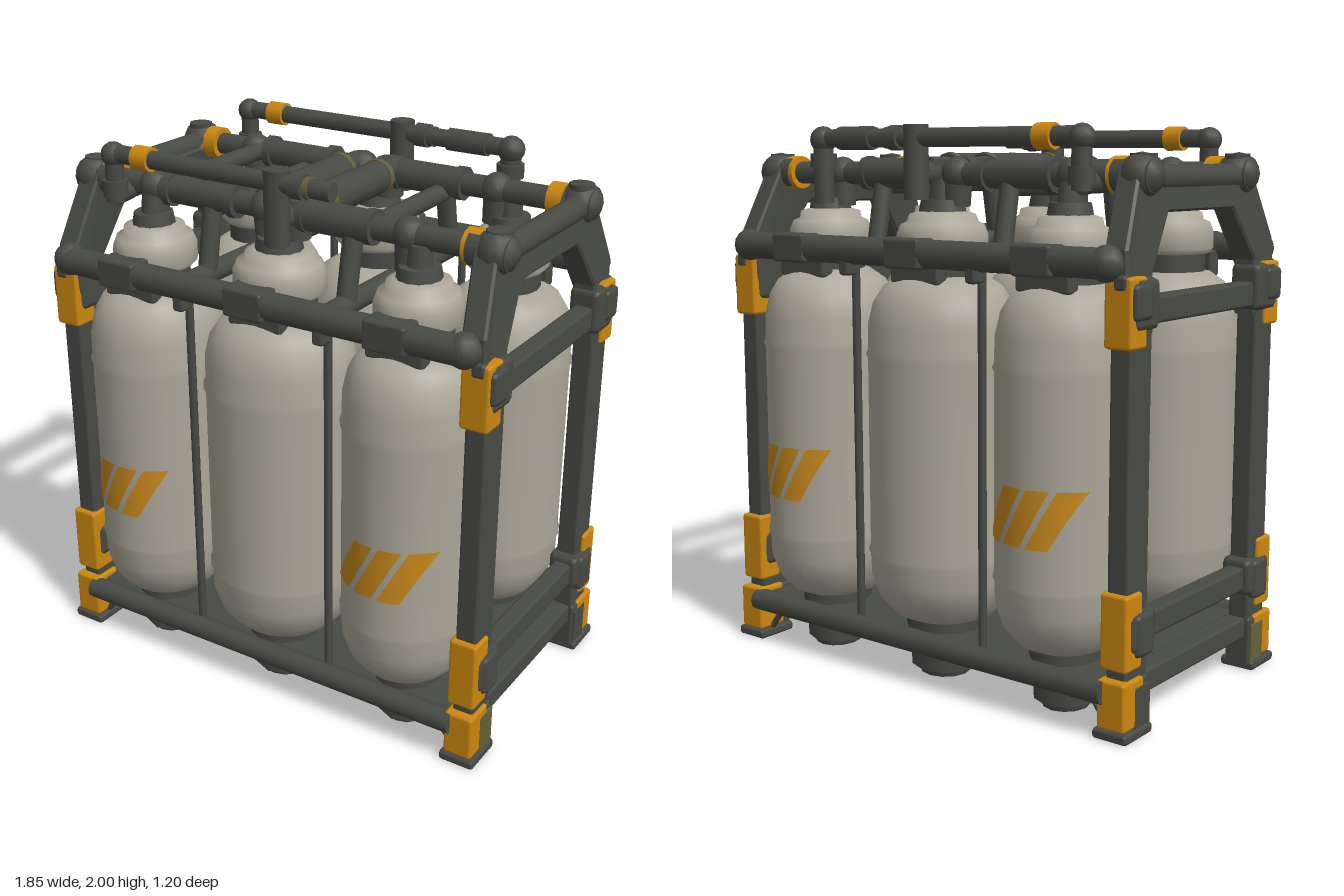
import * as THREE from 'three';
import { RoundedBoxGeometry } from 'three/addons/geometries/RoundedBoxGeometry.js';

const mat = (name, color) => new THREE.MeshStandardMaterial({ name, color });

export function createModel() {
  const dark = mat('darkMetal', 0x484a45);
  const pale = mat('paleTank', 0xaba698);
  const orange = mat('orangePaint', 0xcc8810);
  const olive = mat('wornOlive', 0x66603c);
  const stripeMat = mat('stripeOrange', 0xc98a1c);
  const root = new THREE.Group();
  root.name = 'tankRack';

  const add = (name, geo, m, x = 0, y = 0, z = 0, parent = root) => {
    const mesh = new THREE.Mesh(geo, m);
    mesh.name = name;
    mesh.position.set(x, y, z);
    parent.add(mesh);
    return mesh;
  };
  const box = (name, m, x, y, z, w, h, d, r = 0.012) =>
    add(name, new RoundedBoxGeometry(w, h, d, 1, r), m, x, y, z);
  // round bar between two points
  const pipe = (name, m, a, b, r, sides = 12) => {
    const p = new THREE.Vector3(...a), q = new THREE.Vector3(...b);
    const dir = q.clone().sub(p);
    const mesh = add(name, new THREE.CylinderGeometry(r, r, dir.length(), sides), m);
    mesh.position.copy(p).add(q).multiplyScalar(0.5);
    mesh.quaternion.setFromUnitVectors(new THREE.Vector3(0, 1, 0), dir.normalize());
    return mesh;
  };
  const joint = (name, x, y, z, r) => add(name, new THREE.SphereGeometry(r, 12, 8), dark, x, y, z);
  // collar around a pipe that runs along x
  const collar = (name, m, x, y, z, r, w) => pipe(name, m, [x - w / 2, y, z], [x + w / 2, y, z], r);

  const lathe = (pts) => new THREE.LatheGeometry(pts.map(([r, y]) => new THREE.Vector2(r, y)), 24);
  const bodyGeo = lathe([[0, 0.2], [0.1, 0.205], [0.18, 0.24], [0.235, 0.3], [0.262, 0.38], [0.265, 0.46],
    [0.272, 0.475], [0.265, 0.49], [0.265, 1.18], [0.273, 1.195], [0.265, 1.21], [0.264, 1.3],
    [0.245, 1.38], [0.21, 1.435], [0.15, 1.475], [0, 1.48]]);
  const capGeo = lathe([[0.14, 1.54], [0.16, 1.56], [0.16, 1.62], [0.145, 1.655], [0.12, 1.665],
    [0.115, 1.69], [0.08, 1.7], [0, 1.7]]);

  // one slanted stripe wrapped on the tank wall
  const stripe = (x0) => {
    const pos = [], idx = [], nx = 4, ny = 6, R = 0.269;
    for (let j = 0; j <= ny; j++) for (let i = 0; i <= nx; i++) {
      const x = x0 + 0.085 * i / nx + 0.115 * j / ny;
      pos.push(x, 0.62 + 0.2 * j / ny, Math.sqrt(R * R - Math.min(x * x, R * R * 0.999)));
    }
    for (let j = 0; j < ny; j++) for (let i = 0; i < nx; i++) {
      const a = j * (nx + 1) + i, b = a + nx + 1;
      idx.push(a, a + 1, b + 1, a, b + 1, b);
    }
    const g = new THREE.BufferGeometry();
    g.setAttribute('position', new THREE.Float32BufferAttribute(pos, 3));
    g.setIndex(idx);
    g.computeVertexNormals();
    return g;
  };

  // six tanks, the back row turned to face backwards
  for (const side of [1, -1]) for (const col of [-1, 0, 1]) {
    const tank = new THREE.Group();
    tank.name = 'tank';
    tank.position.set(col * 0.55 * side, 0, 0.328 * side);
    tank.rotation.y = side > 0 ? 0 : Math.PI;
    tank.scale.x = col ? 0.925 : 1.04;
    root.add(tank);
    add('tankBody', bodyGeo, pale, 0, 0, 0, tank);
    add('tankNeck', new THREE.CylinderGeometry(0.13, 0.13, 0.12, 16), dark, 0, 1.51, 0, tank);
    add('tankCap', capGeo, pale, 0, 0, 0, tank);
    add('tankValve', new THREE.CylinderGeometry(0.075, 0.085, 0.05, 12), dark, 0, 1.715, 0, tank);
    add('valveStem', new THREE.CylinderGeometry(0.04, 0.05, 0.1, 12), dark, 0, 1.76, 0, tank);
    add('tankSeat', new THREE.CylinderGeometry(0.14, 0.14, 0.08, 12), dark, 0, 0.19, 0, tank);
    add('footNut', new THREE.CylinderGeometry(0.125, 0.12, 0.1, 8), dark, 0, 0.08, 0, tank);
    add('footRim', new THREE.CylinderGeometry(0.1, 0.09, 0.03, 12), dark, 0, 0.02, 0, tank);
    if (col) for (let k = 0; k < 3; k++)
      add('stripe', stripe((col < 0 ? -0.235 : -0.205) + k * 0.11), stripeMat, 0, 0, 0, tank);
  }

  // base plate and long rails
  box('basePlate', dark, 0, 0.155, 0, 1.62, 0.06, 0.92);
  for (const s of [1, -1]) {
    pipe('baseRail', dark, [-0.82, 0.16, s * 0.5], [0.82, 0.16, s * 0.5], 0.042);
    pipe('shoulderRail', dark, [-0.82, 1.56, s * 0.51], [0.82, 1.56, s * 0.51], 0.05);
    for (const x of [-0.55, 0, 0.55]) {
      box('railBracket', dark, x, 1.5, s * 0.46, 0.22, 0.1, 0.06);
      box('railClip', dark, x, 1.56, s * 0.51, 0.16, 0.105, 0.1);
    }
    for (const x of [-0.29, 0.29]) {
      pipe('tieRod', dark, [x, 0.18, s * 0.47], [x, 1.54, s * 0.47], 0.015, 8);
      box('rodClip', dark, x, 1.5, s * 0.51, 0.045, 0.06, 0.06);
      pipe('braceColumn', dark, [x, 1.56, s * 0.36], [x, 1.83, s * 0.31], 0.035);
    }
  }
  for (const x of [-0.29, 0.29]) {
    pipe('crossBar', dark, [x, 1.56, -0.52], [x, 1.56, 0.52], 0.038);
    pipe('upperCrossBar', dark, [x, 1.79, -0.31], [x, 1.79, 0.31], 0.035);
  }

  // end arches, leaning inward towards the top
  const arch = new THREE.Shape();
  const half = [[0.48, 1.34], [0.48, 1.6], [0.36, 1.86], [0.28, 1.86], [0.24, 1.81]];
  const inner = [[0.22, 1.72], [0.35, 1.53], [0.35, 1.34]];
  arch.setFromPoints([...half, ...half.slice().reverse().map(([z, y]) => [-z, y]),
    ...inner.slice().reverse().map(([z, y]) => [-z, y]), ...inner].map(([z, y]) => new THREE.Vector2(z, y)));
  for (const s of [1, -1]) {
    const g = new THREE.ExtrudeGeometry(arch, { depth: 0.07, bevelEnabled: true, bevelThickness: 0.008, bevelSize: 0.008, bevelSegments: 1 });
    g.translate(0, 0, -0.035).rotateY(Math.PI / 2);
    const p = g.attributes.position;
    for (let i = 0; i < p.count; i++)
      p.setX(i, p.getX(i) + s * (0.845 - 0.12 * Math.max(0, p.getY(i) - 1.5)));
    g.computeVertexNormals();
    add('endArch', g, dark);
    pipe('endTopPipe', dark, [s * 0.82, 1.82, -0.32], [s * 0.82, 1.82, 0.32], 0.045);
    box('endUpperBar', dark, s * 0.85, 1.405, 0, 0.07, 0.09, 0.74);
    box('endLowerBar', dark, s * 0.85, 0.355, 0, 0.07, 0.09, 0.74);
    box('endBaseBar', dark, s * 0.84, 0.16, 0, 0.08, 0.08, 0.74);

    // corner posts with painted guards
    for (const t of [1, -1]) {
      const x = s * 0.85;
      box('cornerPost', dark, x, 0.76, t * 0.415, 0.08, 1.4, 0.13);
      box('upperBlock', dark, x, 1.43, t * 0.405, 0.12, 0.17, 0.15, 0.025);
      box('lowerBlock', dark, x, 0.36, t * 0.4, 0.12, 0.14, 0.16, 0.025);
      box('upperKnob', dark, s * 0.9, 1.44, t * 0.44, 0.045, 0.12, 0.1, 0.02);
      box('lowerKnob', dark, s * 0.9, 0.35, t * 0.4, 0.045, 0.15, 0.1, 0.02);
      box('upperGuard', orange, x, 1.405, t * 0.45, 0.105, 0.23, 0.1);
      box('guardClip', dark, x + s * 0.01, 1.5, t * 0.485, 0.05, 0.05, 0.04);
      box('lowerGuard', orange, x, 0.365, t * 0.45, 0.105, 0.26, 0.1);
      box('footGuard', orange, x, 0.12, t * 0.45, 0.11, 0.17, 0.125);
      box('footBlock', dark, x, 0.1, t * 0.425, 0.1, 0.2, 0.15);
      box('footPlate', dark, x, 0.018, t * 0.435, 0.135, 0.036, 0.17);
      box('footPatch', t > 0 ? olive : dark, s * 0.903, 0.1, t * 0.4, 0.008, 0.15, 0.09, 0.002);
      pipe('footBrace', dark, [s * 0.81, 0.02, t * 0.45], [s * 0.72, 0.14, t * 0.45], 0.012, 8);
      joint('topCorner', s * 0.82, 1.83, t * 0.32, 0.075);
      pipe('cornerSocket', dark, [s * 0.87, 1.83, t * 0.32], [s * 0.73, 1.83, t * 0.32], 0.058);
      pipe('cornerBoss', dark, [s * 0.82, 1.8, t * 0.31], [s * 0.82, 1.9, t * 0.31], 0.045, 10);
      collar('cornerRing', orange, s * 0.74, 1.83, t * 0.31, 0.062, 0.055);
      joint('railEnd', s * 0.81, 1.56, t * 0.5, 0.06);
    }
  }

  // feed pipes over both rows
  for (const t of [1, -1]) {
    const z = t * 0.31;
    pipe('leftFeedPipe', dark, [-0.75, 1.83, z], [-0.06, 1.83, z], 0.042);
    pipe('rightFeedPipe', dark, [0.05, 1.83, z], [0.75, 1.83, z], 0.042);
    pipe('thickFeedSleeve', dark, [0.1, 1.83, z], [0.36, 1.83, z], 0.056);
    pipe('leftSleeve', dark, [-0.46, 1.83, z], [-0.2, 1.83, z], 0.05);
    for (const x of [-0.47, -0.19, 0.1, 0.36]) collar('feedCollar', dark, x, 1.83, z, 0.062, 0.03);
    joint('feedElbow', -0.06, 1.83, z, 0.062);
    pipe('feedDrop', dark, [-0.06, 1.83, z], [-0.05, 1.72, z], 0.05);
    pipe('feedRiser', dark, [0.06, 1.74, z], [0.06, 1.88, z], 0.05);
    for (const x of [-0.55, 0.5]) {
      joint('feedTee', x, 1.83, z, 0.06);
      pipe('valveDrop', dark, [x, 1.83, z], [x, 1.71, z], 0.048);
    }

    // raised outer line, shorter along the front
    const zo = t * 0.41, end = t > 0 ? 0.27 : 0.5;
    pipe('raisedPipe', dark, [-0.65, 1.955, zo], [end, 1.955, zo], 0.033);
    joint('raisedElbow', -0.65, 1.95, zo, 0.046);
    pipe('raisedDrop', dark, [-0.65, 1.95, zo], [-0.65, 1.78, zo], 0.034);
    pipe('raisedDropCollar', dark, [-0.65, 1.86, zo], [-0.65, 1.8, zo], 0.046);
    pipe('raisedLink', dark, [-0.65, 1.8, zo], [-0.65, 1.81, z], 0.035);
    collar('raisedRing', orange, -0.51, 1.955, zo, 0.044, 0.07);
    collar('raisedCollar', dark, 0.14, 1.955, zo, 0.044, 0.05);
    collar('raisedCollarThin', t > 0 ? olive : dark, 0.18, 1.955, zo, 0.038, 0.02);
    pipe('centreRiser', dark, [0.05, 1.74, zo], [0.05, 2, zo], 0.045);
    pipe('centreLink', dark, [0.05, 1.83, zo], [0.05, 1.83, z], 0.042);
    if (t < 0) {
      collar('raisedSleeve', dark, 0.33, 1.955, zo, 0.042, 0.16);
      joint('endElbow', 0.5, 1.95, zo, 0.05);
      pipe('endDrop', dark, [0.5, 1.95, zo], [0.5, 1.72, zo], 0.038);
      pipe('endDropCollar', dark, [0.5, 1.9, zo], [0.5, 1.85, zo], 0.05);
    }
  }

  // cross lines joining the two rows
  pipe('thinCrossPipe', dark, [-0.52, 1.83, -0.31], [-0.52, 1.83, 0.31], 0.034);
  for (const x of [-0.08, 0.08]) {
    pipe('crossPipe', dark, [x, 1.85, -0.31], [x, 1.85, 0.31], 0.04);
    pipe('crossCanister', dark, [x, 1.84, -0.205], [x, 1.84, 0.205], 0.062);
    for (const z of [-0.185, 0.185])
      pipe('canisterRing', olive, [x, 1.84, z - 0.012], [x, 1.84, z + 0.012], 0.066);
  }
  return root;
}
